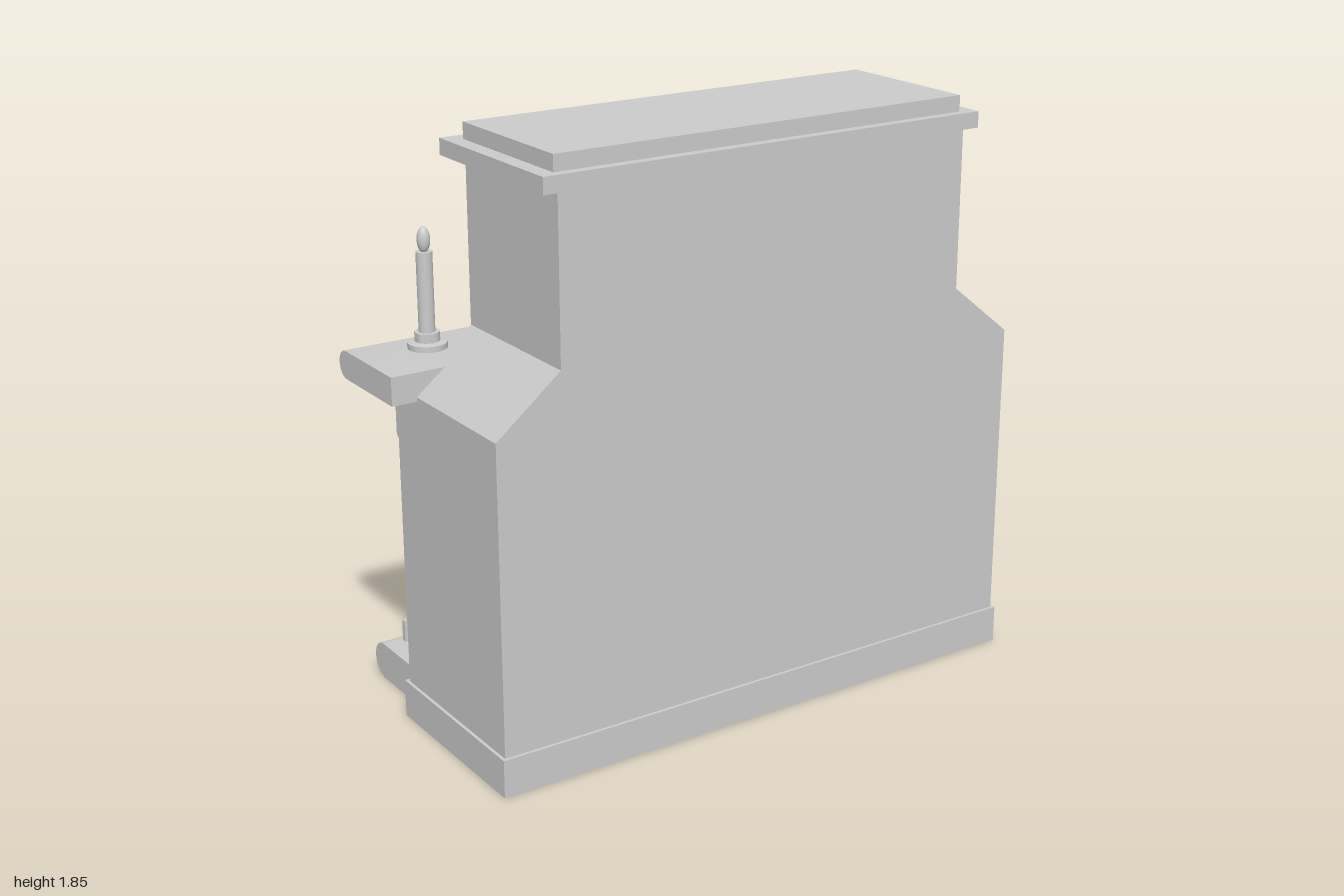
import * as THREE from 'three';
import { toCreasedNormals } from 'three/addons/utils/BufferGeometryUtils.js';

export function createModel() {
  const root = new THREE.Group();
  const mat = new THREE.MeshStandardMaterial({ color: 0xcccccc });
  const add = (name, geo, x = 0, y = 0, z = 0, parent = root) => {
    const m = new THREE.Mesh(geo, mat);
    m.name = name;
    m.position.set(x, y, z);
    parent.add(m);
    return m;
  };
  const group = (name, x = 0, y = 0, z = 0) => {
    const g = new THREE.Group();
    g.name = name;
    g.position.set(x, y, z);
    root.add(g);
    return g;
  };
  // Box given by its limits on each axis
  const box = (name, x0, x1, y0, y1, z0, z1, parent = root) =>
    add(name, new THREE.BoxGeometry(x1 - x0, y1 - y0, z1 - z0),
      (x0 + x1) / 2, (y0 + y1) / 2, (z0 + z1) / 2, parent);
  const poly = (pts) => new THREE.Shape(pts.map(([a, b]) => new THREE.Vector2(a, b)));
  const extrude = (shape, depth) => toCreasedNormals(
    new THREE.ExtrudeGeometry(shape, { depth, bevelEnabled: false, curveSegments: 20 }), 0.6);
  // Profile drawn in (-z, y), swept along x and centred
  const sweepX = (shape, width) => extrude(shape, width).translate(0, 0, -width / 2).rotateY(Math.PI / 2);
  // Round bar between two points
  const rod = (name, a, b, r, parent = root, seg = 20) => {
    const p = new THREE.Vector3(...a), q = new THREE.Vector3(...b);
    const d = q.clone().sub(p);
    const m = add(name, new THREE.CylinderGeometry(r, r, d.length(), seg), 0, 0, 0, parent);
    m.position.copy(p).add(q).multiplyScalar(0.5);
    m.quaternion.setFromUnitVectors(new THREE.Vector3(0, 1, 0), d.normalize());
    return m;
  };
  const ball = (name, x, y, z, r, parent = root, sx = 1, sy = 1, sz = 1) => {
    const m = add(name, new THREE.SphereGeometry(r, 24, 16), x, y, z, parent);
    m.scale.set(sx, sy, sz);
    return m;
  };
  // Slab with a half-round nose on its -z edge
  const nosedSlab = (name, width, y0, y1, zBack, zFront) => {
    const r = (y1 - y0) / 2, s = new THREE.Shape();
    s.moveTo(-zBack, y0);
    s.lineTo(-zFront - r, y0);
    s.absarc(-zFront - r, y0 + r, r, -Math.PI / 2, Math.PI / 2, false);
    s.lineTo(-zBack, y1);
    add(name, sweepX(s, width));
  };
  const opening = () => new THREE.Path(
    [[-0.46, 0.12], [-0.46, 0.85], [0.46, 0.85], [0.46, 0.12]].map(([a, b]) => new THREE.Vector2(a, b)));

  // Chimney breast: pierced front, solid back, shouldered top and cap
  const front = poly([[-0.92, 0], [0.92, 0], [0.92, 1.08], [-0.92, 1.08]]);
  front.holes.push(opening());
  add('breastFront', extrude(front, 0.38), 0, 0, -0.13);
  box('breastBack', -0.92, 0.92, 0, 1.08, 0.25, 0.46);
  add('chimneyShoulders', extrude(poly([[-0.92, 1.08], [0.92, 1.08], [0.71, 1.25],
    [0.71, 1.75], [-0.71, 1.75], [-0.71, 1.25]]), 0.51), 0, 0, -0.05);
  box('cap', -0.76, 0.76, 1.75, 1.8, -0.11, 0.47);
  box('capTop', -0.71, 0.71, 1.8, 1.85, -0.06, 0.44);
  box('plinthBack', -0.93, 0.93, 0, 0.12, -0.145, 0.47);

  // Splayed firebox cheeks
  for (const s of [-1, 1]) {
    const tri = poly([[0.46 * s, 0.13], [0.46 * s, -0.25], [0.33 * s, -0.25]]);
    add('fireboxCheek', extrude(tri, 0.73).rotateX(-Math.PI / 2), 0, 0.12, 0);
  }

  // Surround, keystone, hearth and mantel
  const surround = poly([[-0.63, 0.12], [0.63, 0.12], [0.63, 1.03], [-0.63, 1.03]]);
  surround.holes.push(opening());
  add('surround', extrude(surround, 0.05), 0, 0, -0.18);
  add('keystone', extrude(poly([[-0.065, 0.83], [0.065, 0.83], [0.085, 1.03], [-0.085, 1.03]]), 0.06), 0, 0, -0.23);
  nosedSlab('hearth', 1.74, 0, 0.12, -0.14, -0.47);
  nosedSlab('mantelShelf', 2, 1.067, 1.155, 0, -0.34);
  box('bedMould', -0.94, 0.94, 1.03, 1.067, -0.28, -0.12);
  for (const s of [-1, 1]) {
    add('corbel', sweepX(poly([[0.13, 0.76], [0.255, 0.88], [0.255, 1.03], [0.13, 1.03]]), 0.11), s * 0.81);
  }

  // Candles
  for (const [x, z, top] of [[0.77, -0.195, 1.45], [0.61, -0.22, 1.36], [-0.78, -0.195, 1.45]]) {
    const g = group('candle', x, 1.155, z), h = top - 1.155;
    add('holder', toCreasedNormals(new THREE.LatheGeometry([[0, 0], [0.06, 0], [0.06, 0.018], [0.038, 0.022],
      [0.038, 0.05], [0, 0.05]].map(([a, b]) => new THREE.Vector2(a, b)), 28), 0.6), 0, 0, 0, g);
    rod('wax', [0, 0.04, 0], [0, h, 0], 0.025, g);
    ball('flame', 0, h + 0.035, 0, 0.02, g, 1, 2, 1);
  }

  // Mantel clock
  const clock = group('clock');
  box('clockBase', -0.18, 0.18, 1.155, 1.18, -0.25, -0.1, clock);
  const arch = new THREE.Shape();
  arch.moveTo(-0.16, 1.18);
  arch.lineTo(0.16, 1.18);
  arch.lineTo(0.16, 1.4);
  arch.absarc(0, 1.4, 0.16, 0, Math.PI, false);
  add('clockCase', extrude(arch, 0.125), 0, 0, -0.222, clock);
  rod('clockDial', [0, 1.38, -0.21], [0, 1.38, -0.238], 0.11, clock, 40);
  add('clockBezel', new THREE.TorusGeometry(0.108, 0.014, 10, 40), 0, 1.38, -0.237, clock);
  add('dialRing', new THREE.TorusGeometry(0.078, 0.003, 6, 36), 0, 1.38, -0.239, clock);
  rod('hourHand', [0, 1.38, -0.245], [0.045, 1.41, -0.245], 0.005, clock, 8);
  rod('minuteHand', [0, 1.38, -0.248], [-0.075, 1.405, -0.248], 0.005, clock, 8);
  rod('handHub', [0, 1.38, -0.235], [0, 1.38, -0.265], 0.012, clock);
  ball('clockFinial', 0, 1.57, -0.16, 0.022, clock);

  // Leaning picture with raised sun and hill
  const pic = group('picture', -0.415, 1.157, -0.125);
  pic.rotation.x = 0.2;
  box('pictureBoard', -0.17, 0.17, 0, 0.28, -0.012, 0.012, pic);
  for (const s of [-1, 1]) {
    box('frameSide', s * 0.168 - 0.01, s * 0.168 + 0.01, 0, 0.285, -0.018, 0.012, pic);
    box('frameRail', -0.17, 0.17, 0.1325 + s * 0.1325, 0.1525 + s * 0.1325, -0.018, 0.012, pic);
  }
  rod('sun', [-0.07, 0.19, 0], [-0.07, 0.19, -0.022], 0.034, pic);
  ball('hill', 0.03, 0.075, -0.014, 0.14, pic, 1, 0.5, 0.1);

  // Ornament on a small stand
  box('ornamentStand', 0.28, 0.44, 1.155, 1.18, -0.24, -0.15);
  ball('ornament', 0.365, 1.215, -0.197, 0.1, root, 1, 0.4, 0.36).rotation.y = -0.36;

  // Stacked firewood on the hearth
  for (const [x, y] of [[0.655, 0.174], [0.775, 0.174], [0.715, 0.279]]) {
    rod('firewood', [x, y, -0.18], [x, y, -0.395], 0.054, root, 24);
    rod('firewoodEnd', [x, y, -0.177], [x, y, -0.4], 0.044, root, 24);
  }

  // Fire tools on a stand
  const tools = group('fireTools', -0.75, 0.12, -0.28);
  rod('toolBase', [0, 0, 0], [0, 0.022, 0], 0.082, tools, 32);
  rod('toolPole', [0, 0, 0], [0, 0.54, 0], 0.011, tools);
  ball('toolKnob', 0, 0.545, 0, 0.025, tools);
  rod('toolCrossbar', [-0.085, 0.49, 0], [0.085, 0.49, 0], 0.008, tools);
  for (const x of [-0.08, -0.04, 0.04, 0.08]) rod('toolRod', [x, 0.12, 0], [x, 0.5, 0], 0.006, tools, 10);
  box('shovelBlade', -0.11, -0.05, 0.06, 0.13, -0.008, 0.008, tools);
  box('brushHead', 0.062, 0.098, 0.06, 0.14, -0.012, 0.012, tools);

  // Andirons and grate
  const grate = group('grate');
  for (const s of [-1, 1]) {
    const x = s * 0.255;
    rod('andironPost', [x, 0.12, -0.09], [x, 0.32, -0.09], 0.018, grate);
    ball('andironBall', x, 0.335, -0.09, 0.03, grate);
    box('andironBar', x - 0.014, x + 0.014, 0.16, 0.185, -0.09, 0.17, grate);
    box('andironFoot', x - 0.014, x + 0.014, 0.12, 0.17, 0.14, 0.17, grate);
  }
  for (const z of [-0.07, 0, 0.07, 0.14]) box('grateBar', -0.36, 0.36, 0.165, 0.183, z - 0.009, z + 0.009, grate);

  // Burning logs and embers
  rod('burningLog', [0.36, 0.24, 0.0], [-0.35, 0.24, 0.0], 0.058);
  rod('burningLog', [0.3, 0.24, 0.14], [-0.3, 0.24, 0.12], 0.058);
  rod('burningLog', [0.26, 0.4, 0.11], [-0.28, 0.335, 0.02], 0.055);
  for (const [x, r] of [[0.1, 0.034], [-0.1, 0.03], [-0.18, 0.026], [0.2, 0.022]])
    ball('ember', x, 0.12 + r * 0.8, -0.1, r);
  box('emberBlock', -0.035, 0.045, 0.12, 0.165, -0.125, -0.075).rotation.y = 0.3;

  return root;
}
